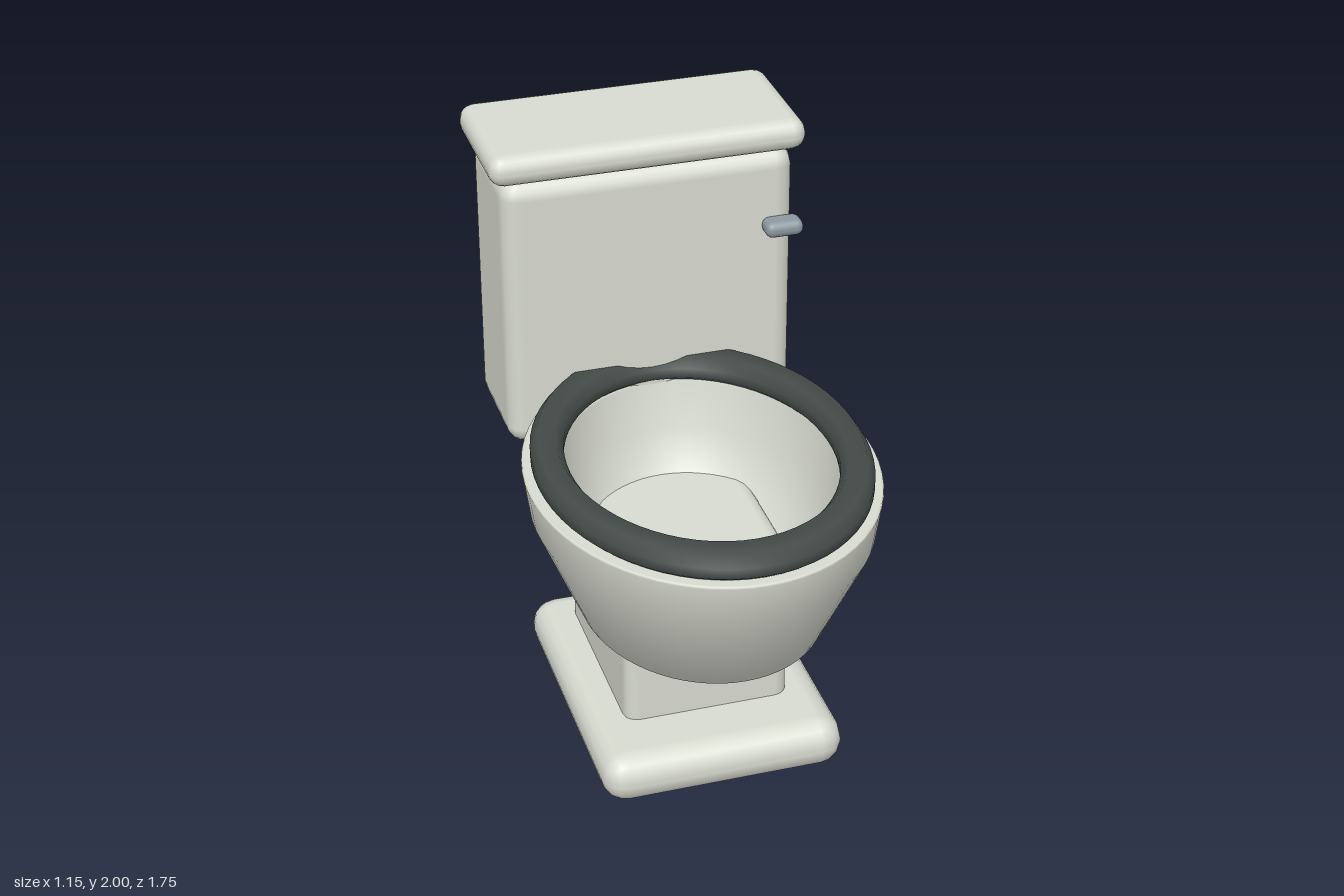
import * as THREE from 'three';
import { RoundedBoxGeometry } from 'three/addons/geometries/RoundedBoxGeometry.js';

const porcelain = new THREE.MeshStandardMaterial({ color: 0xd8dbd0 });
const darkPlastic = new THREE.MeshStandardMaterial({ color: 0x434b48 });
const metal = new THREE.MeshStandardMaterial({ color: 0x8c98a0 });

// Rounded block spanning the given [min, max] ranges
function block(name, [x0, x1], [y0, y1], [z0, z1], radius, material) {
  const geometry = new RoundedBoxGeometry(x1 - x0, y1 - y0, z1 - z0, 2, radius);
  const mesh = new THREE.Mesh(geometry, material);
  mesh.position.set((x0 + x1) / 2, (y0 + y1) / 2, (z0 + z1) / 2);
  mesh.name = name;
  return mesh;
}

// Oval turned part: a profile of [radius, y] stretched along z
function oval(name, profile, stretch, material) {
  const points = profile.map(([r, y]) => new THREE.Vector2(r, y));
  const geometry = new THREE.LatheGeometry(points, 64);
  geometry.scale(1, 1, stretch);
  const mesh = new THREE.Mesh(geometry, material);
  mesh.position.z = 0.16;
  mesh.name = name;
  return mesh;
}

export function createModel() {
  const model = new THREE.Group();
  model.name = 'toilet';

  // Foot and pedestal
  model.add(block('base', [-0.42, 0.42], [0, 0.18], [-0.585, 0.485], 0.085, porcelain));
  model.add(block('pedestal', [-0.287, 0.287], [0.1, 0.775], [-0.47, 0.25], 0.05, porcelain));

  // Bowl: outside wall up to the rim, then down the inside
  model.add(oval('bowl', [
    [0, 0.51], [0.195, 0.51], [0.2, 0.51], [0.405, 0.58], [0.555, 0.94],
    [0.575, 1.083], [0.573, 1.09], [0.565, 1.09], [0.46, 1.09], [0.452, 1.083],
    [0.43, 0.92], [0.375, 0.77], [0.28, 0.635], [0.08, 0.57], [0, 0.57],
  ], 1.245, porcelain));

  // Seat ring
  model.add(oval('seat', [
    [0.455, 1.085], [0.525, 1.085], [0.544, 1.105], [0.544, 1.14], [0.52, 1.175],
    [0.46, 1.175], [0.436, 1.14], [0.436, 1.105], [0.455, 1.085],
  ], 1.27, darkPlastic));

  // Cistern, lid and flush lever
  model.add(block('tank', [-0.5, 0.5], [0.91, 1.895], [-0.845, -0.403], 0.065, porcelain));
  model.add(block('tankLid', [-0.537, 0.537], [1.892, 2], [-0.875, -0.38], 0.05, porcelain));
  model.add(block('flushLever', [0.383, 0.515], [1.605, 1.662], [-0.418, -0.335], 0.026, metal));

  return model;
}
